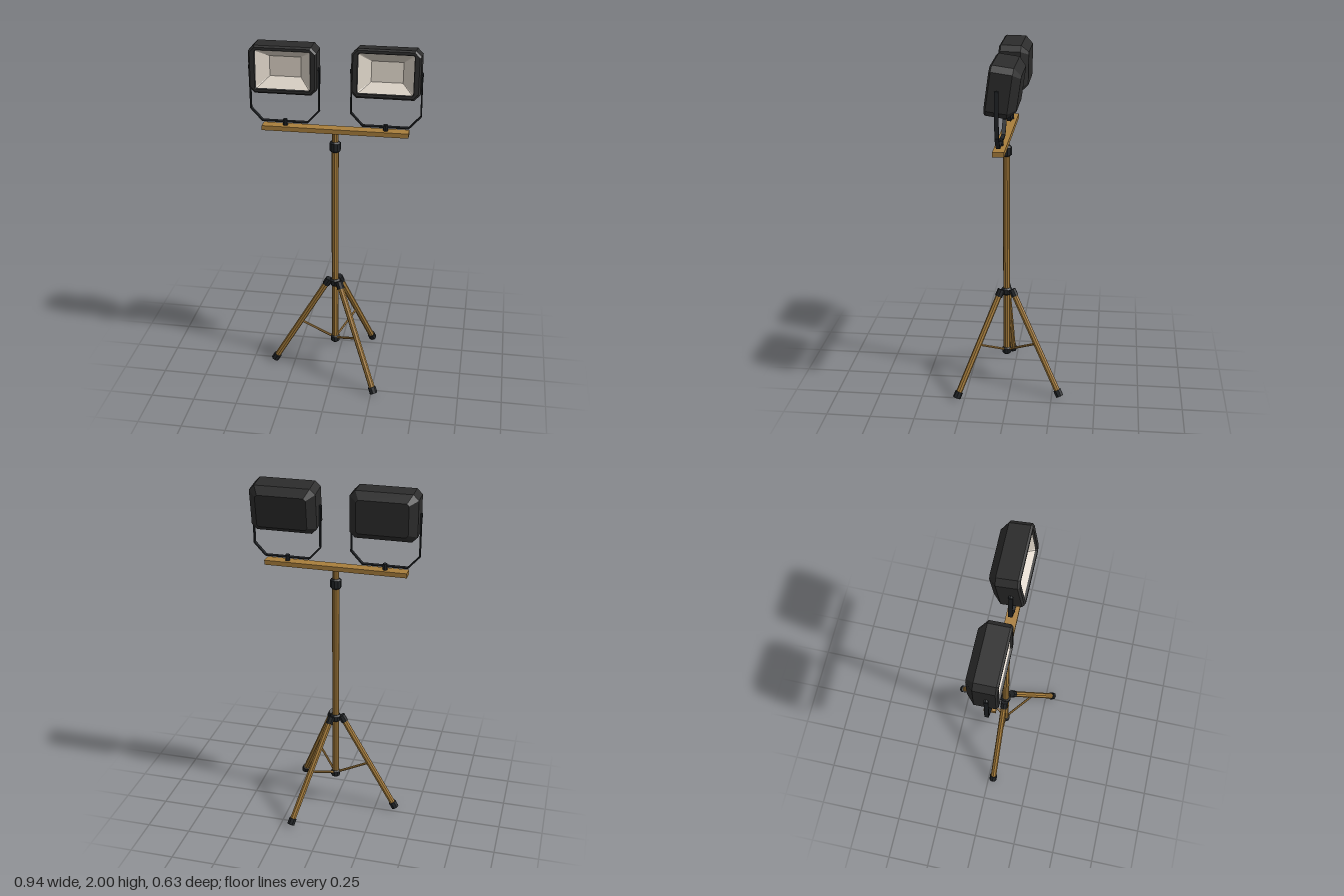
import * as THREE from 'three';

const mat = (name, color, extra = {}) => {
  const m = new THREE.MeshStandardMaterial({ color, ...extra });
  m.name = name;
  return m;
};

export function createModel() {
  const root = new THREE.Group();
  root.name = 'workLightTripod';
  const bronze = mat('bronze', 0xa87e3c, { flatShading: true });
  const fitting = mat('blackFitting', 0x202326, { flatShading: true });
  const housing = mat('charcoalHousing', 0x2c2c2c, { flatShading: true });
  const reflector = mat('paleReflector', 0xd9d0c4, { flatShading: true });
  const AXIS_Z = 0.03;
  const V = (x, y, z) => new THREE.Vector3(x, y, z);

  const add = (parent, name, geo, material, x = 0, y = 0, z = 0) => {
    const m = new THREE.Mesh(geo, material);
    m.name = name;
    m.position.set(x, y, z);
    parent.add(m);
    return m;
  };

  // Straight rod between two points
  const rod = (parent, name, a, b, r, material, sides = 8) => {
    const d = b.clone().sub(a);
    const m = add(parent, name, new THREE.CylinderGeometry(r, r, d.length(), sides), material);
    m.position.copy(a).addScaledVector(d, 0.5);
    m.quaternion.setFromUnitVectors(V(0, 1, 0), d.normalize());
    return m;
  };

  // Collar with chamfered ends on the pole
  const collar = (name, y0, y1, r) => {
    const c = 0.008;
    const pts = [[0, y0], [r - c, y0], [r, y0 + c], [r, y1 - c], [r - c, y1], [0, y1]];
    add(root, name, new THREE.LatheGeometry(pts.map(p => new THREE.Vector2(...p)), 10), fitting, 0, 0, AXIS_Z);
  };

  // Pole, collars and crossbar
  rod(root, 'pole', V(0, 0.19, AXIS_Z), V(0, 1.42, AXIS_Z), 0.02, bronze, 10);
  rod(root, 'upperPole', V(0, 1.42, AXIS_Z), V(0, 1.515, AXIS_Z), 0.018, bronze, 10);
  collar('upperCollar', 1.4, 1.46, 0.031);
  collar('legHub', 0.562, 0.605, 0.031);
  collar('lowerCollar', 0.178, 0.222, 0.027);
  add(root, 'crossbar', new THREE.BoxGeometry(0.8, 0.026, 0.062), bronze, 0, 1.525, AXIS_Z);

  // Three legs with end caps and braces
  const legs = [
    [V(-0.04, 0.588, 0.03), V(-0.37, 0.013, 0.03)],
    [V(0.02, 0.588, -0.008), V(0.187, 0.013, -0.297)],
    [V(0.03, 0.588, 0.063), V(0.267, 0.013, 0.293)],
  ];
  for (const [top, foot] of legs) {
    const g = new THREE.Group();
    g.name = 'leg';
    root.add(g);
    const at = t => top.clone().lerp(foot, t);
    rod(g, 'legTube', top, foot, 0.0175, bronze);
    rod(g, 'legTopCap', at(-0.02), at(0.045), 0.022, fitting);
    rod(g, 'footCap', at(0.945), at(1.003), 0.023, fitting);
    rod(g, 'brace', at(0.5), V(0, 0.2, AXIS_Z), 0.007, bronze, 6);
  }

  // Rectangle with cut corners, half sizes w and h
  const octagon = (w, h, c, z) => [
    [w, -h + c], [w, h - c], [w - c, h], [-w + c, h],
    [-w, h - c], [-w, -h + c], [-w + c, -h], [w - c, -h],
  ].map(([x, y]) => [x, y, z]);

  // Skin over octagonal loops, optionally closed at either end
  const loft = (loops, capStart, capEnd) => {
    const out = [];
    const tri = (...p) => p.forEach(q => out.push(...q));
    for (let k = 0; k + 1 < loops.length; k++) {
      for (let i = 0; i < 8; i++) {
        const j = (i + 1) % 8, p = loops[k], n = loops[k + 1];
        tri(p[i], p[j], n[j]);
        tri(p[i], n[j], n[i]);
      }
    }
    const last = loops[loops.length - 1];
    for (let i = 1; i < 7; i++) {
      if (capStart) tri(loops[0][0], loops[0][i + 1], loops[0][i]);
      if (capEnd) tri(last[0], last[i], last[i + 1]);
    }
    const geo = new THREE.BufferGeometry();
    geo.setAttribute('position', new THREE.Float32BufferAttribute(out, 3));
    geo.computeVertexNormals();
    return geo;
  };

  const housingGeo = loft([
    octagon(0.14, 0.092, 0.012, -0.108),
    octagon(0.183, 0.13, 0.03, -0.066),
    octagon(0.183, 0.13, 0.03, 0.045),
    octagon(0.174, 0.121, 0.027, 0.055),
    octagon(0.15, 0.107, 0.006, 0.055),
    octagon(0.146, 0.103, 0.005, 0.043),
  ], true, false);
  const reflectorGeo = loft([
    octagon(0.146, 0.103, 0.005, 0.043),
    octagon(0.085, 0.055, 0.001, -0.03),
  ], false, true);

  // Bent strap that carries a lamp
  const strap = new THREE.Shape();
  const outer = [[0.191, 1.87], [0.191, 1.628], [0.126, 1.557]];
  const inner = [[0.184, 1.87], [0.184, 1.631], [0.123, 1.564]];
  const flip = pts => pts.map(([x, y]) => [-x, y]).reverse();
  strap.setFromPoints([...outer, ...flip(outer), ...flip(inner).reverse(), ...inner.slice().reverse()]
    .map(p => new THREE.Vector2(...p)));
  const strapGeo = new THREE.ExtrudeGeometry(strap, { depth: 0.022, bevelEnabled: false });
  strapGeo.translate(0, 0, -0.011);

  // Two lamps, the left one tipped further upward
  for (const [name, x, tilt] of [['rightLamp', -0.274, 1], ['leftLamp', 0.274, 8]]) {
    const g = new THREE.Group();
    g.name = name;
    g.position.set(x, 0, AXIS_Z);
    root.add(g);
    add(g, 'yoke', strapGeo, fitting);
    add(g, 'yokeMount', new THREE.CylinderGeometry(0.013, 0.013, 0.036, 8), fitting, 0, 1.555, 0);
    for (const s of [-1, 1]) {
      const bolt = add(g, 'pivotBolt', new THREE.CylinderGeometry(0.012, 0.012, 0.014, 8), fitting, s * 0.187, 1.86, 0);
      bolt.rotation.z = Math.PI / 2;
    }
    const head = new THREE.Group();
    head.name = 'lampHead';
    head.position.y = 1.86;
    head.rotation.x = -THREE.MathUtils.degToRad(tilt);
    g.add(head);
    add(head, 'housing', housingGeo, housing);
    add(head, 'reflector', reflectorGeo, reflector);
  }
  return root;
}
